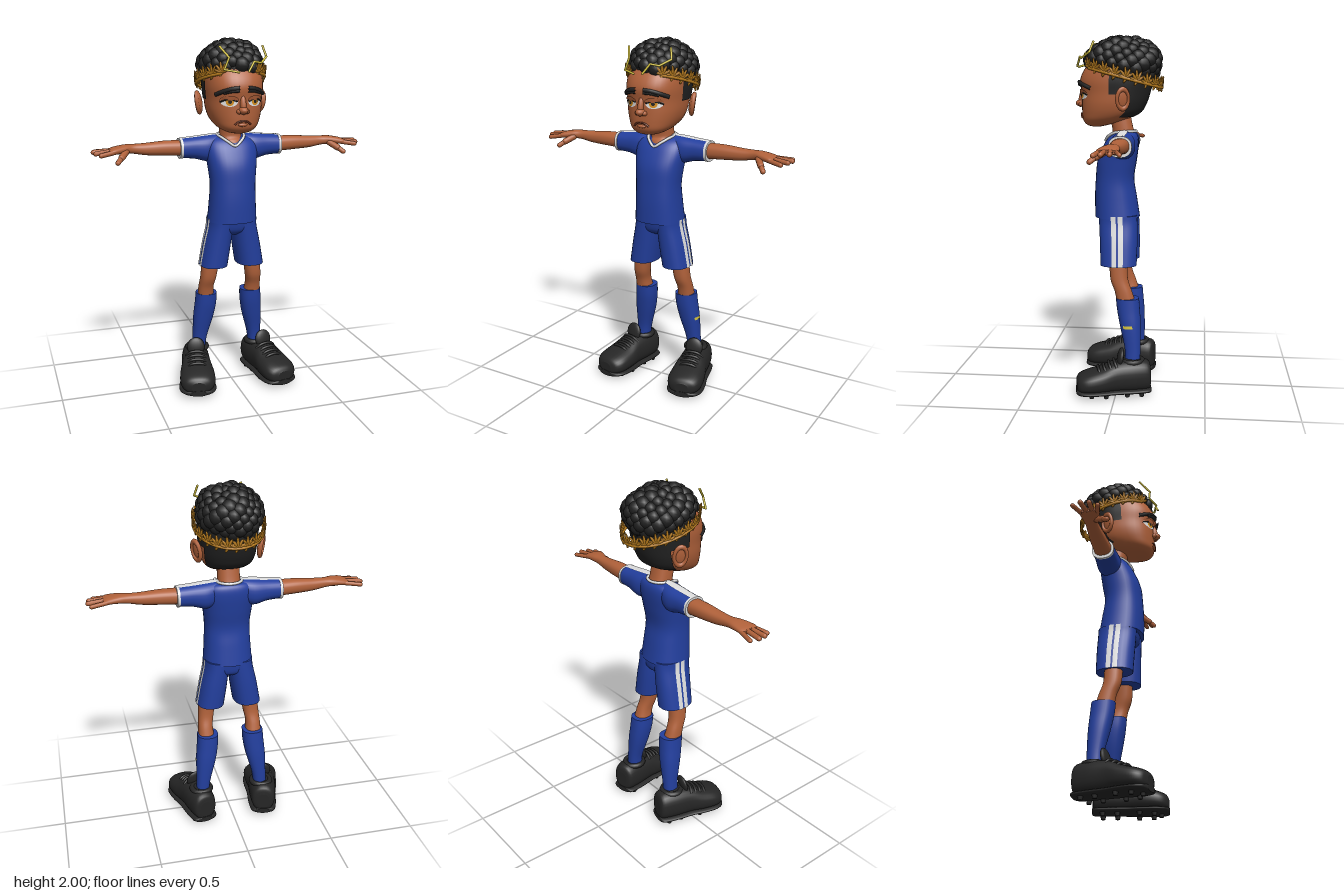
import * as THREE from 'three';
import { mergeGeometries } from 'three/addons/utils/BufferGeometryUtils.js';

const paint = (name, color, side = THREE.FrontSide) => {
  const m = new THREE.MeshStandardMaterial({ color, side });
  m.name = name;
  return m;
};

// Smooth interpolation through rows at row index t
function sample(rows, t) {
  const i = Math.min(Math.floor(t), rows.length - 2), f = t - i;
  const at = k => rows[Math.max(0, Math.min(rows.length - 1, k))];
  const [a, b, c, d] = [at(i - 1), at(i), at(i + 1), at(i + 2)];
  return b.map((_, k) => b[k] + 0.5 * f * (c[k] - a[k] + f * (2 * a[k] - 5 * b[k] + 4 * c[k] - d[k]
    + f * (3 * (b[k] - c[k]) + d[k] - a[k]))));
}

const POWER = 2.35;
const soft = v => Math.sign(v) * Math.abs(v) ** (2 / POWER);

// Skin over rounded sections. Rows: [position on axis, centre, centre, radius, radius].
// t and a limit the rows and the angle, for patches that hug the surface.
function loft(axis, rows, { t = [0, rows.length - 1], a = null, grow = 0, n = 28 } = {}) {
  const pos = [], idx = [], steps = Math.max(2, Math.ceil((t[1] - t[0]) * 5));
  const place = (w, u, v) => pos.push(...(axis === 'x' ? [w, u, v] : axis === 'y' ? [u, w, v] : [u, v, w]));
  const flip = axis === 'y' ? -1 : 1, cols = a ? n + 1 : n, [a0, a1] = a || [0, 2 * Math.PI];
  const ring = r => {
    for (let j = 0; j < cols; j++) {
      const th = a0 + (a1 - a0) * j / n;
      place(r[0], r[1] + (r[3] + grow) * soft(Math.cos(th)), r[2] + flip * (r[4] + grow) * soft(Math.sin(th)));
    }
  };
  for (let i = 0; i <= steps; i++) ring(sample(rows, t[0] + (t[1] - t[0]) * i / steps));
  for (let i = 0; i < steps; i++) for (let j = 0; j < n; j++) {
    const p = i * cols + j, q = i * cols + (j + 1) % cols;
    idx.push(p, q, q + cols, p, q + cols, p + cols);
  }
  if (!a) for (const end of [0, 1]) { // caps
    const r = sample(rows, t[end]), s = pos.length / 3;
    ring(r);
    place(r[0], r[1], r[2]);
    for (let j = 0; j < n; j++) {
      const k = s + (j + 1) % n;
      idx.push(s + n, ...(end ? [s + j, k] : [k, s + j]));
    }
  }
  const g = new THREE.BufferGeometry();
  g.setAttribute('position', new THREE.Float32BufferAttribute(pos, 3));
  g.setIndex(idx);
  g.computeVertexNormals();
  return g;
}

const V = p => new THREE.Vector3(...p);
const ball = (c, r, n = 16) => new THREE.SphereGeometry(1, n, Math.ceil(n * 0.7)).scale(...r).translate(...c);
function rod(p, q, r) {
  const d = V(q).sub(V(p)), mid = V(p).add(V(q)).multiplyScalar(0.5);
  const turn = new THREE.Quaternion().setFromUnitVectors(new THREE.Vector3(0, 1, 0), d.clone().normalize());
  return new THREE.CapsuleGeometry(r, d.length(), 4, 10).applyQuaternion(turn).translate(mid.x, mid.y, mid.z);
}
const tube = (pts, r, closed = false) =>
  new THREE.TubeGeometry(new THREE.CatmullRomCurve3(pts.map(V), closed), 40, r, 8, closed);
const zigzag = (pts, r) => mergeGeometries(pts.slice(1).map((p, i) => rod(pts[i], p, r)));

function mirrored(geo) {
  const g = geo.clone().scale(-1, 1, 1), k = g.index.array;
  for (let i = 0; i < k.length; i += 3) [k[i], k[i + 1]] = [k[i + 1], k[i]];
  return g;
}

const HEAD = [[1.495, 0, .13, .03, .03], [1.505, 0, .12, .07, .065], [1.53, 0, .088, .108, .117],
  [1.57, 0, .05, .133, .16], [1.62, 0, .034, .147, .177], [1.68, 0, .024, .152, .188],
  [1.75, 0, .021, .157, .2], [1.82, 0, .005, .15, .185], [1.88, 0, -.01, .11, .14], [1.9, 0, -.01, .05, .07]];

// Depth of the face at x, y
function faceZ(x, y) {
  let lo = 0, hi = HEAD.length - 1;
  for (let i = 0; i < 24; i++) {
    const m = (lo + hi) / 2;
    if (sample(HEAD, m)[0] < y) lo = m; else hi = m;
  }
  const r = sample(HEAD, lo);
  return r[2] + r[4] * Math.max(0, 1 - Math.abs(x / r[3]) ** POWER) ** (1 / POWER);
}
// Lay a flat shape onto the face
function onFace(geo, lift) {
  const p = geo.attributes.position;
  for (let i = 0; i < p.count; i++) p.setZ(i, faceZ(p.getX(i), p.getY(i)) + lift);
  geo.computeVertexNormals();
  return geo;
}
const disc = (x, y, rx, ry, a0 = 0, a1 = 2 * Math.PI) =>
  new THREE.CircleGeometry(1, 24, a0, a1).scale(rx, ry, 1).translate(x, y, 0);

export function createModel() {
  const skin = paint('skin', 0xb0613a), blue = paint('kit blue', 0x233f9e), white = paint('trim white', 0xdedede);
  const black = paint('hair black', 0x222222), boot = paint('boot black', 0x262626), gold = paint('wreath gold', 0xb97d1e);
  const yellow = paint('bolt yellow', 0xd9c640), brown = paint('lip brown', 0x6e3320), amber = paint('iris amber', 0xd68f1c);
  const model = new THREE.Group();
  const add = (name, mat, geo) => {
    const m = new THREE.Mesh(geo, mat);
    m.name = name;
    model.add(m);
  };
  const pair = (name, mat, geo) => {
    add(name + 'Left', mat, geo);
    add(name + 'Right', mat, mirrored(geo));
  };

  // Head, neck and ears
  add('head', skin, loft('y', HEAD, { n: 40 }));
  add('neck', skin, loft('y', [[1.4, 0, -.01, .03, .086], [1.44, 0, -.02, .06, .08], [1.47, 0, -.02, .062, .06],
    [1.56, 0, 0, .06, .06]]));
  const ear = mergeGeometries([ball([0, 0, 0], [.014, .058, .038]),
    new THREE.TorusGeometry(.042, .012, 8, 24).rotateY(Math.PI / 2).scale(1, 1.25, .8).translate(.008, 0, 0)]);
  pair('ear', skin, ear.rotateY(.45).rotateZ(-.15).translate(.172, 1.65, -.03));

  // Face
  add('nose', skin, mergeGeometries([ball([0, 1.624, .215], [.026, .021, .035]),
    ball([.021, 1.618, .21], [.015, .014, .02]), ball([-.021, 1.618, .21], [.015, .014, .02]),
    ball([0, 0, 0], [.017, .055, .02]).rotateX(-.2).translate(0, 1.655, .212)]));
  pair('eyeWhite', white, onFace(disc(.071, 1.67, .042, .026), .004));
  pair('iris', amber, onFace(disc(.07, 1.67, .02, .021), .006));
  pair('pupil', black, onFace(disc(.07, 1.67, .009, .01), .0075));
  pair('eyelid', skin, onFace(disc(.071, 1.677, .046, .026, 0, Math.PI), .009));
  const line = (pts, r) => tube(pts.map(([x, y]) => [x, y, faceZ(x, y) + .004]), r);
  pair('lashLine', black, line([[.03, 1.672], [.055, 1.68], [.09, 1.679], [.114, 1.668]], .004));
  pair('eyebrow', black, mergeGeometries([line([[.022, 1.742], [.06, 1.738], [.1, 1.725], [.132, 1.705]], .011),
    line([[.022, 1.729], [.06, 1.727], [.1, 1.717]], .01)]));
  add('mouth', brown, line([[-.045, 1.548], [-.025, 1.563], [0, 1.567], [.025, 1.563], [.045, 1.548]], .005));
  add('lowerLip', skin, ball([0, 1.547, .206], [.026, .01, .012]));

  // Hair: short sides and back, then a cap of curls
  add('hairBack', black, loft('y', HEAD, { t: [2.5, 7], a: [.45, Math.PI - .45], grow: .006 }));
  add('hairSides', black, loft('y', HEAD, { t: [4.9, 7], a: [-.08, Math.PI + .08], grow: .005 }));
  const curls = [ball([0, 1.845, -.02], [.158, .13, .2], 24)], count = 130;
  for (let i = 0; i < count; i++) {
    const h = 1 - 2 * (i + .5) / count, th = i * 2.39996, w = Math.sqrt(1 - h * h);
    const x = .146 * w * Math.sin(th), y = 1.845 + .115 * h, z = -.02 + .186 * w * Math.cos(th);
    const r = .039 + .006 * Math.sin(i * 5.3);
    if (y > 1.805 + .26 * z) curls.push(ball([x, y, z], [r, r, r], 12));
  }
  add('curls', black, mergeGeometries(curls));

  // Leaf wreath, open at the brow
  const leaves = [], band = [], stations = 19;
  for (let i = 0; i < stations; i++) {
    const th = .58 + (2 * Math.PI - 1.16) * i / (stations - 1);
    const x = .186 * Math.sin(th), z = -.02 + .216 * Math.cos(th), y = 1.785 + .27 * z;
    band.push([x, y - .012, z]);
    for (const [tilt, len] of [[-1.05, .026], [-.45, .03], [.1, .034], [.65, .03], [1.2, .026], [2.7, .018]])
      leaves.push(new THREE.SphereGeometry(1, 6, 4).scale(.009, len, .006).translate(0, len * .8, 0)
        .rotateZ(tilt).rotateX(.15).rotateY(th).translate(x, y - .008, z));
  }
  add('wreathLeaves', gold, mergeGeometries(leaves));
  add('wreathBand', gold, tube(band, .009));
  add('hairBoltLeft', yellow, zigzag([[.135, 1.955, .13], [.15, 1.9, .15], [.105, 1.87, .2], [.06, 1.878, .215],
    [.025, 1.828, .235]], .006));
  add('hairBoltRight', yellow, zigzag([[-.11, 1.955, .15], [-.075, 1.9, .205], [-.1, 1.838, .205],
    [-.03, 1.825, .235]], .006));

  // Shirt
  add('shirt', blue, loft('y', [[.985, 0, .012, .139, .126], [1.1, 0, .022, .131, .118], [1.2, 0, .027, .128, .108],
    [1.3, 0, .015, .138, .11], [1.38, 0, -.005, .148, .1], [1.43, 0, -.02, .14, .084], [1.457, 0, -.03, .11, .06],
    [1.465, 0, -.03, .07, .03]], { n: 36 }));
  const SLEEVE = [[.06, 1.412, -.03, .06, .05], [.13, 1.395, -.03, .073, .068], [.21, 1.4, -.03, .06, .063],
    [.29, 1.4, -.03, .054, .06]];
  pair('sleeve', blue, loft('x', SLEEVE));
  pair('shoulderStripe', white, loft('x', SLEEVE, { t: [0, 3], a: [-.3, .3], grow: .004 }));
  pair('cuff', white, loft('x', [[.279, 1.4, -.03, .057, .063], [.294, 1.4, -.03, .057, .063]]));
  add('collar', white, tube([[0, 1.415, .08], [.035, 1.437, .066], [.068, 1.462, .025], [.074, 1.468, -.03],
    [.045, 1.469, -.078], [0, 1.468, -.092], [-.045, 1.469, -.078], [-.074, 1.468, -.03], [-.068, 1.462, .025],
    [-.035, 1.437, .066]], .008, true));

  // Arms and hands
  pair('arm', skin, loft('x', [[.27, 1.402, -.03, .043, .05], [.38, 1.405, -.03, .04, .046],
    [.48, 1.405, -.028, .033, .038], [.55, 1.41, -.026, .026, .034], [.6, 1.412, -.018, .024, .045],
    [.66, 1.407, -.008, .019, .056], [.685, 1.404, -.008, .012, .05]]));
  pair('fingers', skin, mergeGeometries([
    rod([.65, 1.405, -.048], [.75, 1.397, -.075], .012), rod([.66, 1.408, -.022], [.765, 1.4, -.03], .0135),
    rod([.66, 1.408, .006], [.758, 1.398, .015], .0135), rod([.65, 1.405, .03], [.735, 1.392, .054], .013),
    rod([.595, 1.4, .012], [.628, 1.375, .055], .018), rod([.628, 1.375, .055], [.652, 1.354, .082], .014)]));

  // Shorts
  add('shortsTop', blue, loft('y', [[.905, 0, 0, .04, .06], [.935, 0, .002, .115, .1], [1.0, 0, .006, .136, .112]]));
  const SHORT = [[.722, .108, -.004, .078, .102], [.85, .087, -.002, .076, .106], [.95, .071, .002, .07, .108],
    [1.0, .068, .005, .069, .109]];
  pair('shortsLeg', blue, loft('y', SHORT));
  for (const a of [[.03, .24], [-.24, -.03]])
    pair('shortsStripe', white, loft('y', SHORT, { a, grow: .004, n: 6 }));

  // Legs and socks
  pair('leg', skin, loft('y', [[.5, .14, -.055, .048, .053], [.58, .143, -.034, .042, .048],
    [.65, .135, -.01, .045, .049], [.75, .123, -.004, .049, .05]]));
  const SOCK = [[.15, .178, -.09, .038, .042], [.25, .17, -.09, .041, .044], [.38, .151, -.076, .057, .058],
    [.47, .139, -.064, .061, .064], [.54, .135, -.057, .06, .065]];
  pair('sock', blue, loft('y', SOCK));
  add('sockMark', yellow, loft('y', SOCK, { t: [1.97, 2.13], a: [-.55, .2], grow: .004, n: 8 }));

  // Boots, toes turned out
  const toe = g => g.rotateY(.2).translate(.215, 0, 0);
  const BOOT = [[-.195, 0, .1, .035, .05], [-.18, 0, .11, .066, .083], [-.1, 0, .112, .08, .092],
    [0, 0, .108, .085, .088], [.08, 0, .092, .098, .072], [.16, 0, .08, .1, .06], [.205, 0, .073, .078, .048],
    [.222, 0, .068, .04, .03]];
  pair('boot', boot, toe(loft('z', BOOT)));
  pair('sole', boot, toe(loft('z', BOOT.map(([z, x, , rx]) => [z * 1.01, x, .032, rx + .005, .016]))));
  pair('tongue', boot, toe(ball([0, 0, 0], [.052, .055, .018]).rotateX(-.2).translate(0, .215, -.025)));
  pair('bootCollar', boot, toe(new THREE.TorusGeometry(.055, .016, 8, 24).rotateX(Math.PI / 2)
    .translate(-.012, .19, -.095)));
  const laces = [0, 1, 2, 3].map(i => {
    const z = .01 + i * .03, y = .196 - i * .012;
    return tube([[-.06, y - .025, z - .01], [-.03, y, z], [.03, y, z], [.06, y - .025, z - .01]], .008);
  });
  pair('laces', boot, toe(mergeGeometries(laces)));
  const studs = [[-.05, -.14], [.05, -.14], [-.05, -.06], [.05, -.06], [-.065, .06], [.065, .06], [-.055, .14],
    [.055, .14], [0, .18]].map(([x, z]) => new THREE.CylinderGeometry(.017, .012, .03, 10).translate(x, .015, z));
  pair('studs', boot, toe(mergeGeometries(studs)));

  return model;
}
